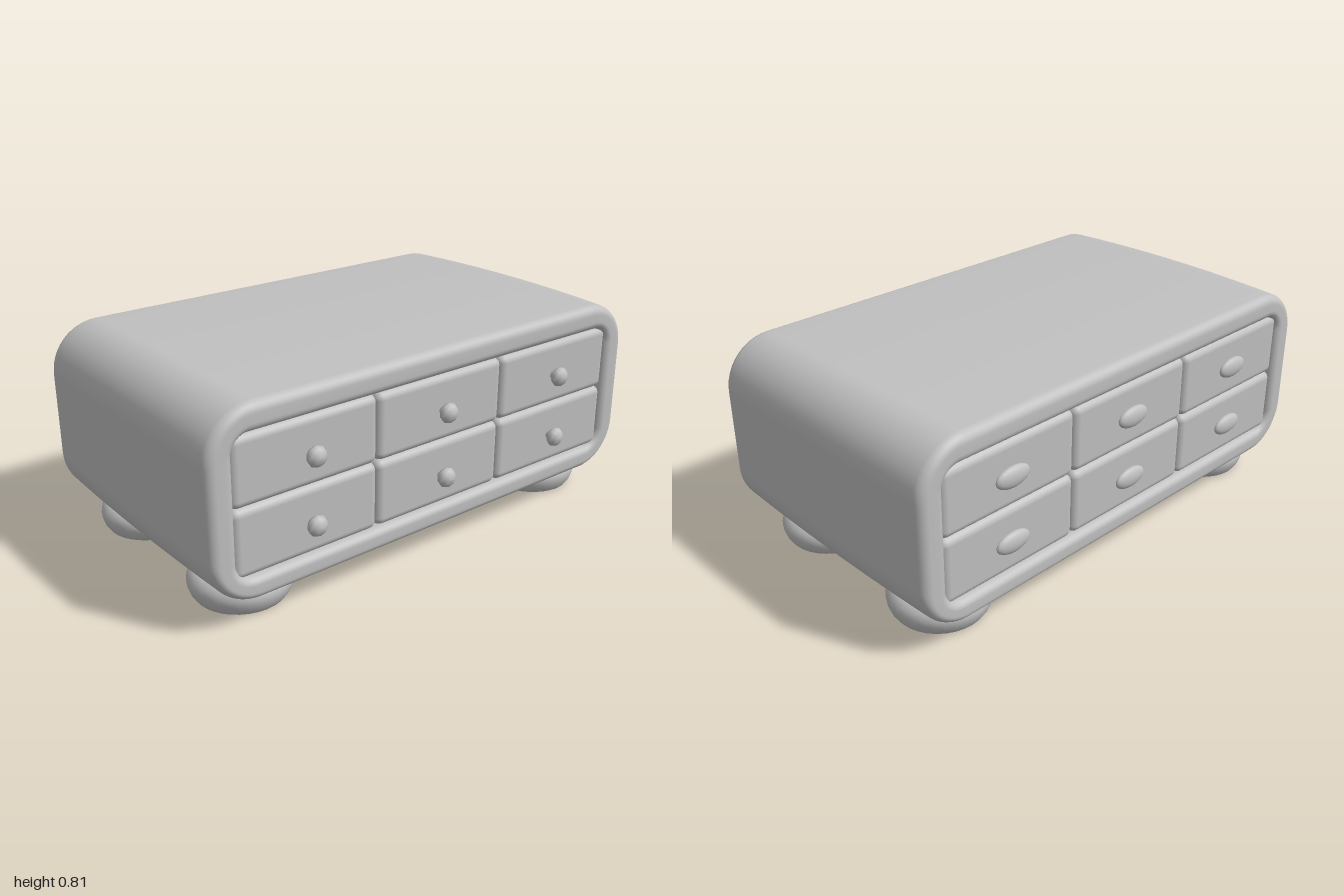
import * as THREE from 'three';
import { RoundedBoxGeometry } from 'three/addons/geometries/RoundedBoxGeometry.js';

const grey = new THREE.MeshStandardMaterial({ color: 0xc0c0c0 });
grey.name = 'plain grey';

const MID_Z = -0.015, HALF_DEPTH = 0.56;

function add(parent, name, geometry, x = 0, y = 0, z = 0) {
  const mesh = new THREE.Mesh(geometry, grey);
  mesh.name = name;
  mesh.position.set(x, y, z);
  parent.add(mesh);
  return mesh;
}

// Rounded rectangle at depth z; the top and sides swell slightly mid-depth
function section(inset, z, steps = 12) {
  const swell = 0.012 * (1 - (z / HALF_DEPTH) ** 2);
  const halfW = 0.985 + swell - inset;
  const top = 0.802 + swell - inset, bottom = 0.102 + inset * 0.86;
  const r = 0.19 - 1.25 * inset;
  const corners = [[1, top - r], [-1, top - r], [-1, bottom + r], [1, bottom + r]];
  const points = [];
  corners.forEach(([side, cy], q) => {
    for (let i = 0; i <= steps; i++) {
      const a = (q + i / steps) * Math.PI / 2;
      points.push([side * (halfW - r) + r * Math.cos(a), cy + r * Math.sin(a), z + MID_Z]);
    }
  });
  return points;
}

// Shell: from the back opening, round the rim, along the outside, into the front opening
function shellGeometry() {
  const front = [];
  for (let i = 0; i < 10; i++) front.push([0, i / 10 * (HALF_DEPTH - 0.035)]);
  const arc = (inset, r, from, to) => {
    for (let i = 0; i <= 6; i++) {
      const a = from + (to - from) * i / 6;
      front.push([inset - r * Math.cos(a), HALF_DEPTH - r + r * Math.sin(a)]);
    }
  };
  arc(0.035, 0.035, 0, Math.PI / 2);
  arc(0.067, 0.035, Math.PI / 2, Math.PI);
  front.push([0.102, HALF_DEPTH - 0.08]);
  const back = front.slice(1).reverse().map(([d, z]) => [d, -z]);
  const rings = [...back, ...front].map(([d, z]) => section(d, z));

  const n = rings[0].length, index = [];
  for (let i = 0; i < rings.length - 1; i++) {
    for (let j = 0; j < n; j++) {
      const k = (j + 1) % n;
      const a = i * n + j, b = i * n + k, c = a + n, d = b + n;
      index.push(a, b, d, a, d, c);
    }
  }
  const geometry = new THREE.BufferGeometry();
  geometry.setAttribute('position', new THREE.Float32BufferAttribute(rings.flat(2), 3));
  geometry.setIndex(index);
  geometry.computeVertexNormals();
  return geometry;
}

function lathe(points, segments) {
  return new THREE.LatheGeometry(points.map(([r, y]) => new THREE.Vector2(r, y)), segments);
}

export function createModel() {
  const model = new THREE.Group();
  model.name = 'drawerChest';

  add(model, 'shell', shellGeometry());
  add(model, 'core', new THREE.BoxGeometry(1.82, 0.54, 2 * HALF_DEPTH - 0.1), 0, 0.45, MID_Z);

  // Three columns and two rows of drawers, on front and back
  const drawer = new RoundedBoxGeometry(0.598, 0.256, 0.14, 4, 0.03);
  const knob = lathe([[0.014, -0.02], [0.016, 0.012], [0.034, 0.024], [0.039, 0.038],
    [0.032, 0.052], [0.016, 0.062], [0, 0.064]], 10).rotateX(Math.PI / 2);
  const bump = new THREE.SphereGeometry(1, 20, 12).scale(0.075, 0.04, 0.022);
  for (const x of [-0.595, 0, 0.595]) {
    for (const y of [0.318, 0.572]) {
      add(model, 'frontDrawer', drawer, x, y, MID_Z + HALF_DEPTH - 0.082);
      add(model, 'backDrawer', drawer, x, y, MID_Z - HALF_DEPTH + 0.082);
      add(model, 'knob', knob, x * 0.985, y - 0.005, 0.53);
      add(model, 'backBump', bump, x, y - 0.007, -0.567);
    }
  }

  // Squat rounded feet with a flat sole
  const foot = lathe([[0, 0], [0.155, 0], [0.167, 0.003], [0.18, 0.022], [0.188, 0.045], [0.19, 0.065],
    [0.184, 0.088], [0.165, 0.108], [0.13, 0.12], [0.07, 0.127], [0, 0.128]], 32);
  for (const x of [-0.735, 0.735]) {
    for (const z of [0.308, -0.34]) add(model, 'foot', foot, x, 0, z);
  }
  return model;
}
